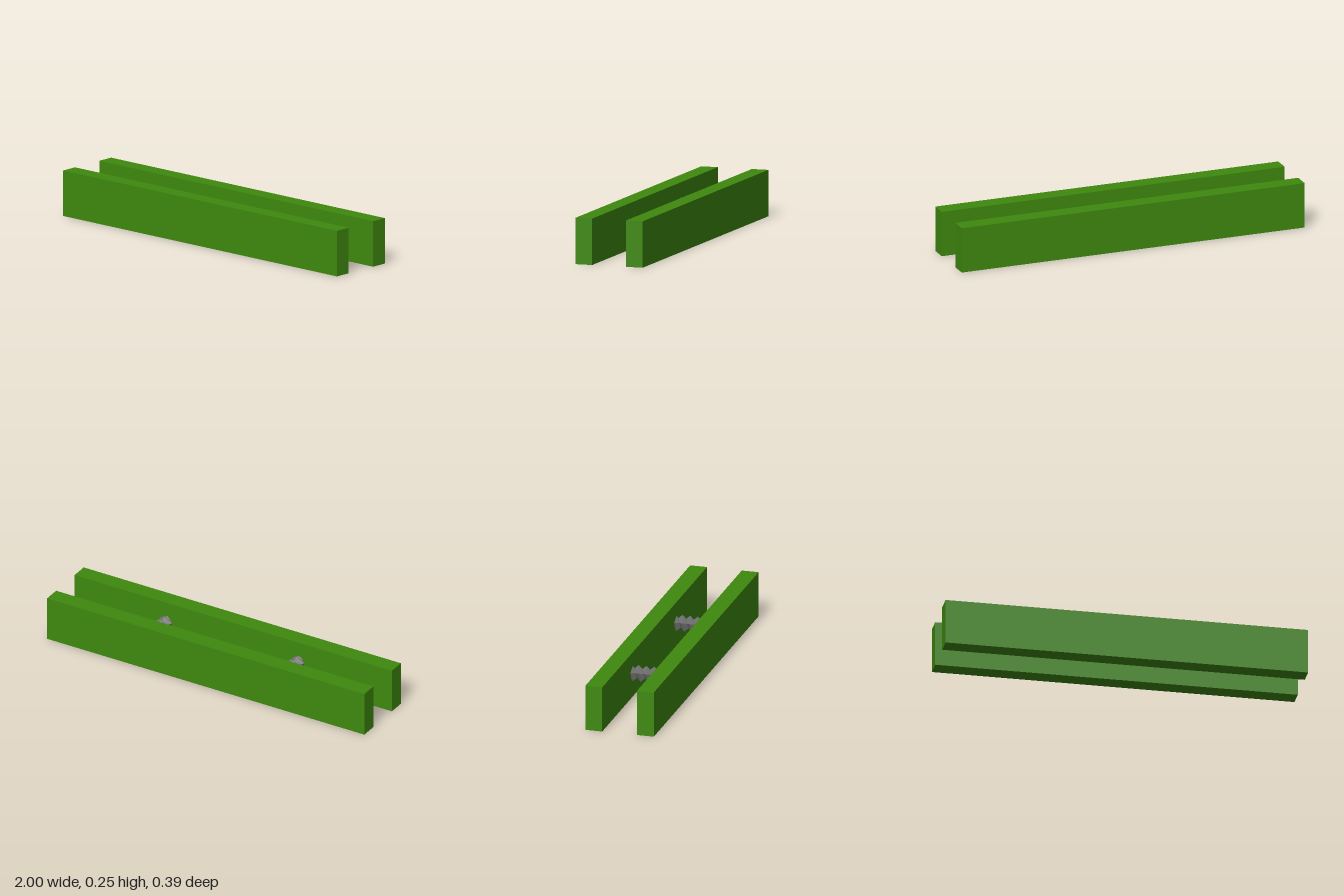
import * as THREE from 'three';

const PITCH = 0.0437, SIDES = 5, HALF_TURNS = 12;
const CORE = 0.027, CREST = 0.0475, SCREW_Y = 0.1365;

// Five-sided right-handed thread: a strip wound around the z axis,
// alternating between crest and core every half pitch
function threadGeometry() {
  const geo = new THREE.PlaneGeometry(1, 1, SIDES, HALF_TURNS);
  const pos = geo.attributes.position;
  for (let k = 0; k < pos.count; k++) {
    const j = k % (SIDES + 1);
    const i = 5 - Math.floor(k / (SIDES + 1));
    const r = i % 2 ? CREST : CORE;
    const a = (j / SIDES) * Math.PI * 2;
    pos.setXYZ(k, r * Math.sin(a), r * Math.cos(a), 0.001 - (i / 2 + j / SIDES) * PITCH);
  }
  geo.computeVertexNormals();
  return geo;
}

export function createModel() {
  const group = new THREE.Group();

  const green = new THREE.MeshStandardMaterial({ color: 0x3f8a0f });
  green.name = 'green paint';
  const steel = new THREE.MeshStandardMaterial({ color: 0x707070, flatShading: true });
  steel.name = 'grey steel';

  // Two parallel bars, front and back
  const barGeo = new THREE.BoxGeometry(2, 0.254, 0.095);
  for (const s of [1, -1]) {
    const bar = new THREE.Mesh(barGeo, green);
    bar.name = s > 0 ? 'frontBar' : 'backBar';
    bar.position.set(0, 0.127, s * 0.1455);
    group.add(bar);
  }

  // Two threaded rods joining the bars, their ends sunk inside them
  const rodGeo = threadGeometry();
  for (const s of [1, -1]) {
    const rod = new THREE.Mesh(rodGeo, steel);
    rod.name = s > 0 ? 'leftThreadedRod' : 'rightThreadedRod';
    rod.position.set(s * 0.417, SCREW_Y, 0);
    group.add(rod);
  }

  return group;
}
